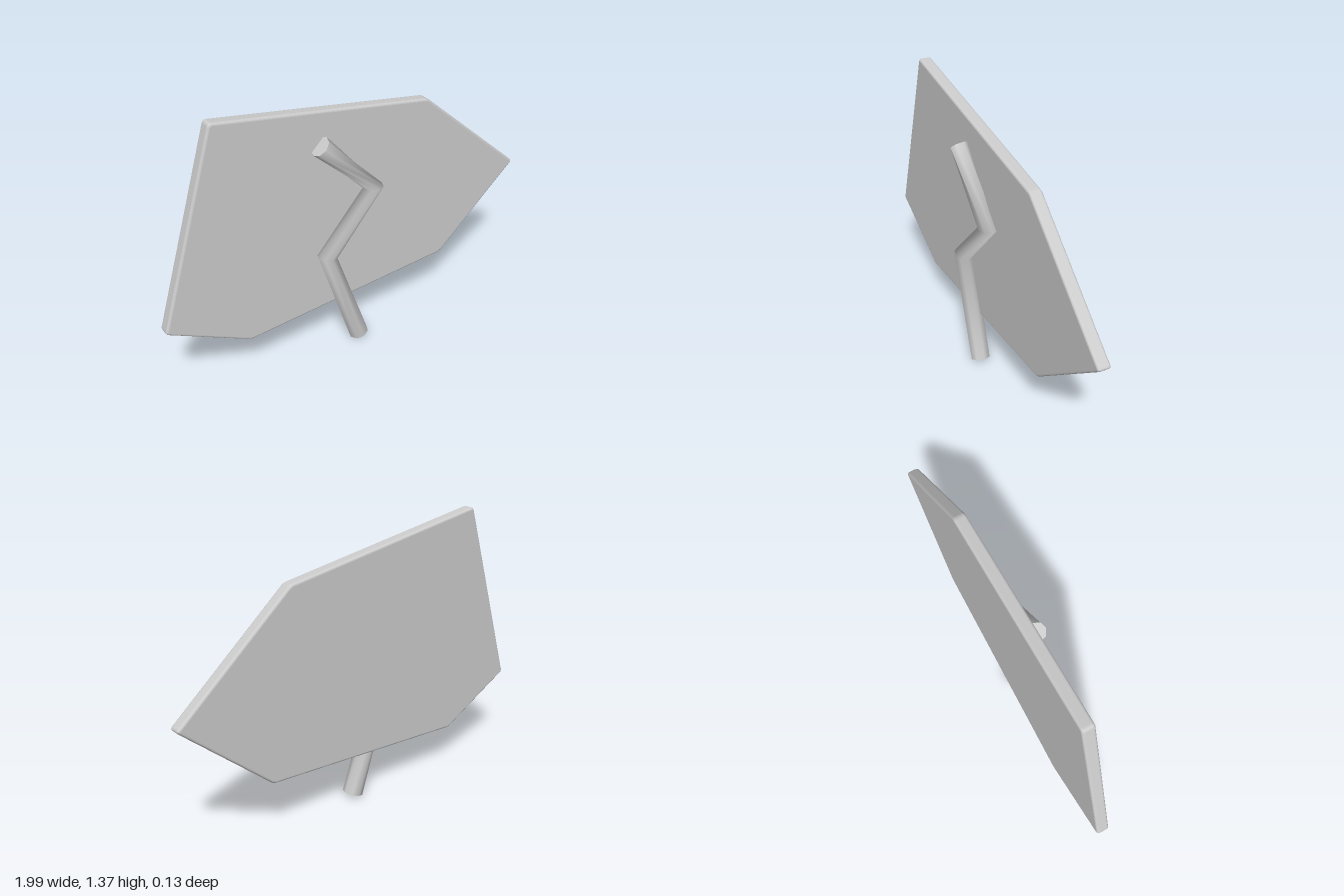
import * as THREE from 'three';

const SIDES = 8;

// Outline with slightly rounded corners
function roundedOutline(corners, r) {
  const pts = corners.map(([x, y]) => new THREE.Vector2(x, y));
  const shape = new THREE.Shape();
  pts.forEach((p, i) => {
    const prev = pts[(i + pts.length - 1) % pts.length];
    const next = pts[(i + 1) % pts.length];
    const a = p.clone().add(prev.clone().sub(p).setLength(r));
    const b = p.clone().add(next.clone().sub(p).setLength(r));
    if (i === 0) shape.moveTo(a.x, a.y);
    else shape.lineTo(a.x, a.y);
    shape.quadraticCurveTo(p.x, p.y, b.x, b.y);
  });
  shape.closePath();
  return shape;
}

// Octagonal tube along a bent path in the xy plane, with a turn at each ring
function bentTube(path, turns, radius, z) {
  const pts = path.map(([x, y]) => new THREE.Vector3(x, y, z));
  const dirs = pts.slice(1).map((p, i) => p.clone().sub(pts[i]).normalize());
  const positions = [], index = [];

  const addRing = (i) => {
    const t = dirs[Math.max(i - 1, 0)].clone().add(dirs[Math.min(i, dirs.length - 1)]).normalize();
    const start = positions.length / 3;
    for (let j = 0; j < SIDES; j++) {
      const a = (j / SIDES) * Math.PI * 2 + turns[i];
      const c = Math.cos(a) * radius;
      positions.push(pts[i].x + t.y * c, pts[i].y - t.x * c, z + Math.sin(a) * radius);
    }
    return start;
  };

  // Walls
  const rings = pts.map((_, i) => addRing(i));
  for (let i = 0; i < rings.length - 1; i++) {
    for (let j = 0; j < SIDES; j++) {
      const k = (j + 1) % SIDES;
      const p0 = rings[i] + j, p1 = rings[i] + k;
      const q0 = rings[i + 1] + j, q1 = rings[i + 1] + k;
      index.push(p0, q0, p1, p1, q0, q1);
    }
  }

  // End caps on their own vertices, so the rims stay sharp
  const low = addRing(0), high = addRing(pts.length - 1);
  for (let j = 1; j < SIDES - 1; j++) {
    index.push(low, low + j, low + j + 1, high, high + j + 1, high + j);
  }

  const geometry = new THREE.BufferGeometry();
  geometry.setAttribute('position', new THREE.Float32BufferAttribute(positions, 3));
  geometry.setIndex(index);
  geometry.computeVertexNormals();
  return geometry;
}

export function createModel() {
  const model = new THREE.Group();
  model.name = 'panelOnBentStem';
  const grey = new THREE.MeshStandardMaterial({ color: 0xcccccc });
  grey.name = 'light grey';

  // Six-sided slab with softened edges
  const bevel = 0.012, back = -0.065, front = -0.003;
  const outline = roundedOutline([
    [-1.0, 0.435], [-0.592, 0.222], [0.535, 0.293],
    [1.002, 0.695], [0.412, 1.2], [-0.706, 1.377],
  ], 0.016);
  const slab = new THREE.ExtrudeGeometry(outline, {
    depth: front - back - 2 * bevel,
    bevelEnabled: true,
    bevelSize: bevel,
    bevelOffset: -bevel,
    bevelThickness: bevel,
    bevelSegments: 4,
    curveSegments: 4,
  });
  slab.translate(0, 0, back + bevel);
  const panel = new THREE.Mesh(slab, grey);
  panel.name = 'panel';
  model.add(panel);

  // Zigzag stem; the last stretch twists by a quarter turn
  const stem = new THREE.Mesh(bentTube(
    [[0.005, 0.017], [-0.175, 0.55], [0.087, 0.847], [-0.2, 1.138]],
    [0, 0, 0, Math.PI / 2],
    0.05, 0.017,
  ), grey);
  stem.name = 'stem';
  model.add(stem);

  return model;
}
